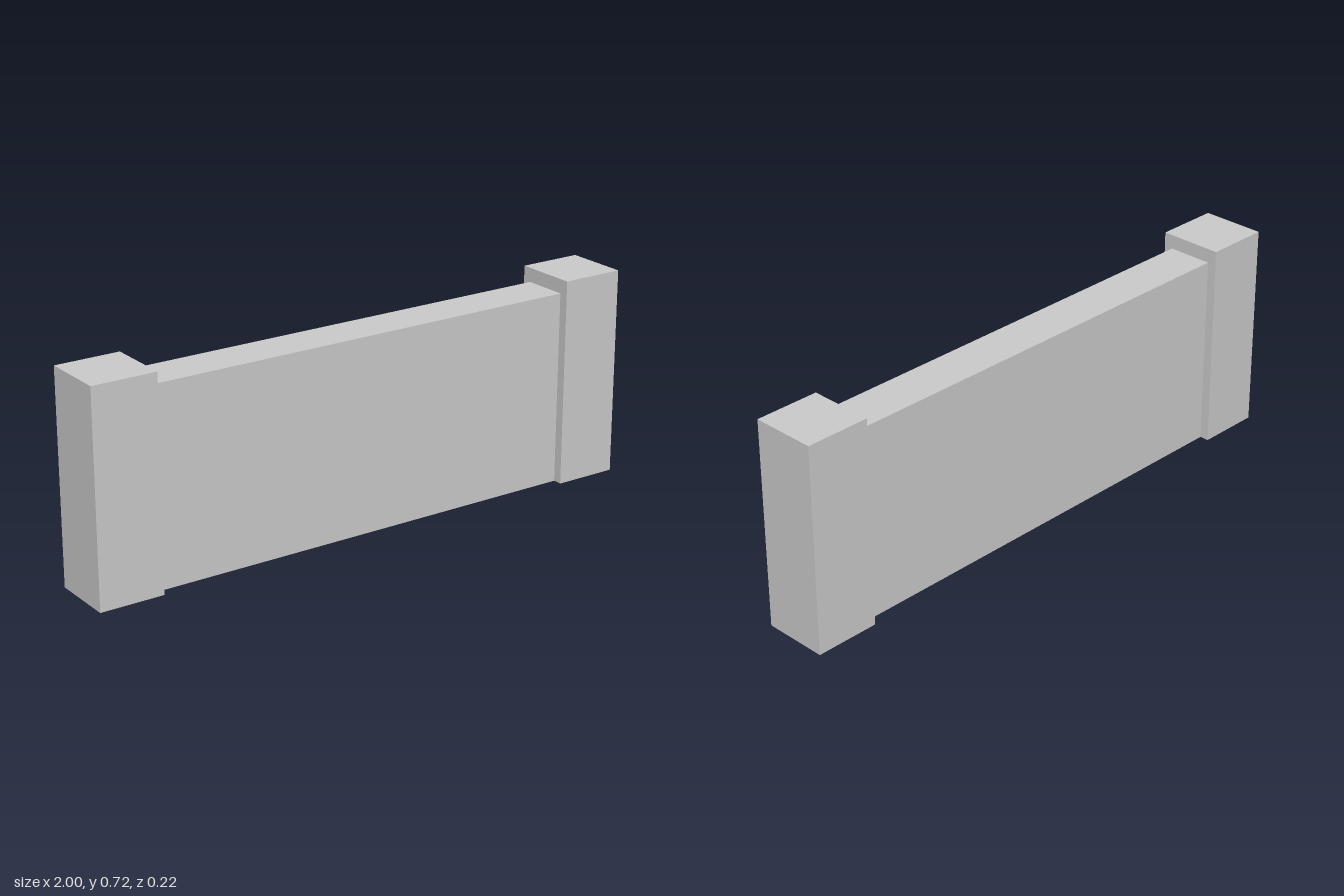
import * as THREE from 'three';

export function createModel() {
  const group = new THREE.Group();
  const material = new THREE.MeshStandardMaterial({ color: 0xcccccc, flatShading: true });

  // Box standing on the ground
  function block(name, width, height, depth, x) {
    const mesh = new THREE.Mesh(new THREE.BoxGeometry(width, height, depth), material);
    mesh.name = name;
    mesh.position.set(x, height / 2, 0);
    group.add(mesh);
  }

  const post = 0.222, postHeight = 0.717;

  // Low wall between the posts
  block('wallPanel', 2 - 2 * post, 0.668, 0.158, 0);

  // Taller square end posts
  for (const [name, side] of [['leftPost', 1], ['rightPost', -1]]) {
    block(name, post, postHeight, post, side * (1 - post / 2));
  }
  return group;
}
